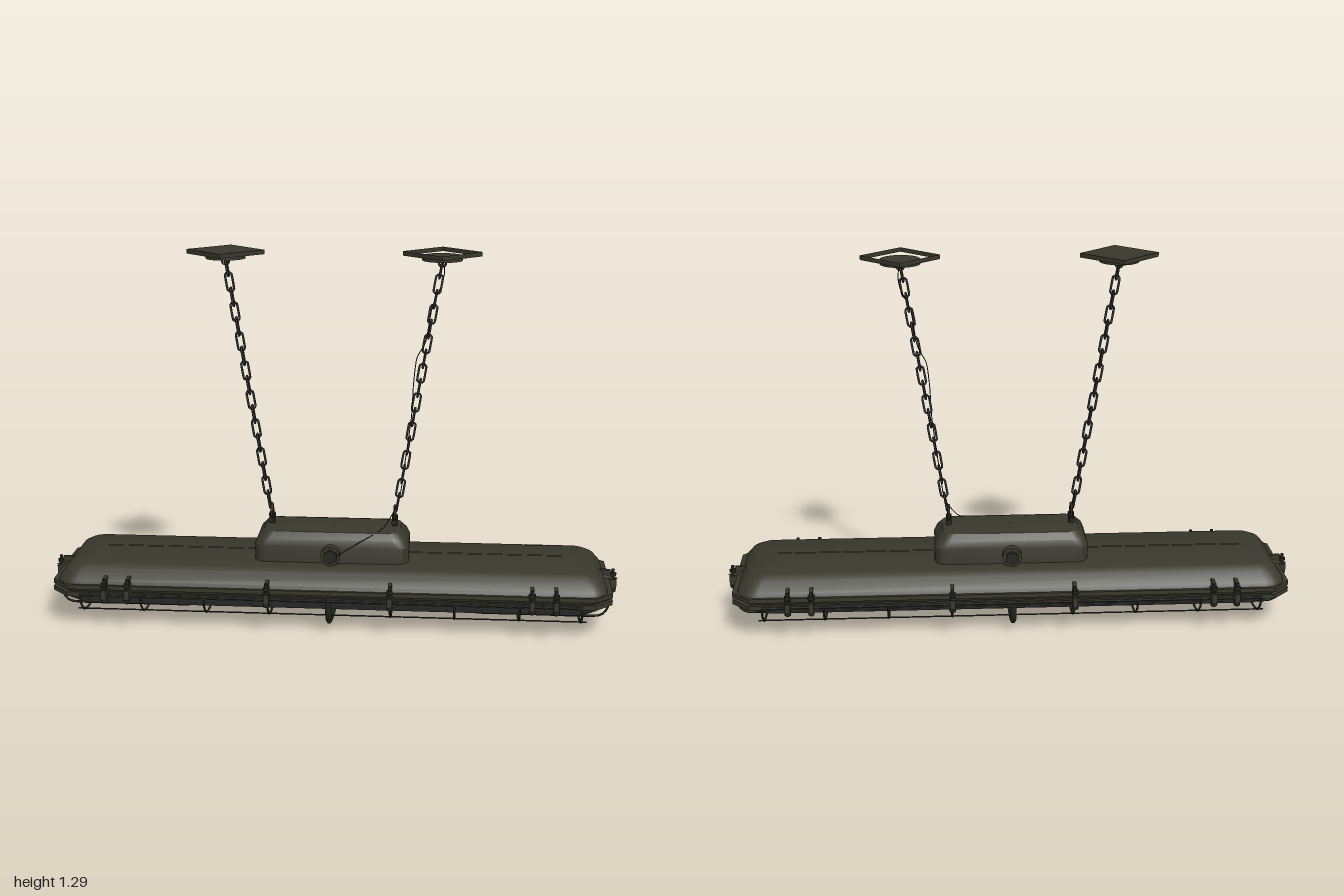
import * as THREE from 'three';
import { toCreasedNormals } from 'three/addons/utils/BufferGeometryUtils.js';

const mat = (name, color, side = THREE.FrontSide) => {
  const m = new THREE.MeshStandardMaterial({ color, side });
  m.name = name;
  return m;
};

// Stack of rounded rectangles, bottom to top: [halfX, halfZ, cornerRadius, y]
function loft(rings, segs, crease = 0.5) {
  const pos = [], idx = [], n = 4 * (segs + 1);
  for (const [hx, hz, r, y] of rings) {
    for (let q = 0; q < 4; q++) for (let i = 0; i <= segs; i++) {
      const a = (q + i / segs) * Math.PI / 2;
      const sx = q === 0 || q === 3 ? 1 : -1, sz = q < 2 ? 1 : -1;
      pos.push(sx * (hx - r) + r * Math.cos(a), y, sz * (hz - r) + r * Math.sin(a));
    }
  }
  for (let k = 0; k < rings.length - 1; k++) for (let j = 0; j < n; j++) {
    const a = k * n + j, b = k * n + (j + 1) % n;
    idx.push(a, a + n, b, b, a + n, b + n);
  }
  const g = new THREE.BufferGeometry();
  g.setAttribute('position', new THREE.Float32BufferAttribute(pos, 3));
  g.setIndex(idx);
  return toCreasedNormals(g, crease);
}

export function createModel() {
  const root = new THREE.Group();
  root.name = 'hangingLamp';
  const olive = mat('olive paint', 0x37372c);
  const oliveOpen = mat('olive sheet', 0x37372c, THREE.DoubleSide);
  const iron = mat('dark iron', 0x25261f);
  const chainMetal = mat('chain steel', 0x2c2c30);
  const glass = mat('smoked glass', 0x414143);

  const add = (parent, name, geo, m, x = 0, y = 0, z = 0) => {
    const o = new THREE.Mesh(geo, m);
    o.name = name;
    o.position.set(x, y, z);
    parent.add(o);
    return o;
  };
  const group = (parent, name, x = 0, y = 0, z = 0) => {
    const g = new THREE.Group();
    g.name = name;
    g.position.set(x, y, z);
    parent.add(g);
    return g;
  };
  const cyl = (r, h, n = 12) => new THREE.CylinderGeometry(r, r, h, n);
  // Bent wire through points
  const wire = (pts, r, n = 40, closed = false) => new THREE.TubeGeometry(
    new THREE.CatmullRomCurve3(pts.map(p => new THREE.Vector3(...p)), closed, 'catmullrom', 0.3), n, r, 6, closed);

  // Housing with a shallow ridged top
  add(root, 'hood', loft([
    [0.95, 0.222, 0.07, 0.15], [0.945, 0.215, 0.07, 0.168], [0.92, 0.187, 0.06, 0.2],
    [0.895, 0.157, 0.05, 0.216], [0.82, 0.002, 0.001, 0.228]], 5), olive);

  // Two chamfered rim flanges with a gasket between
  const flange = (hx, hz, y0, y1) => loft([
    [hx - 0.06, hz - 0.06, 0.03, y0], [hx, hz, 0.06, y0], [hx, hz, 0.06, y1], [hx - 0.06, hz - 0.06, 0.03, y1]], 1, 0.2);
  add(root, 'lowerRim', flange(0.965, 0.23, 0.114, 0.13), olive);
  add(root, 'gasket', flange(0.955, 0.22, 0.13, 0.14), iron);
  add(root, 'upperRim', flange(0.965, 0.23, 0.14, 0.155), olive);

  // Glass bowl
  add(root, 'lens', loft([
    [0.7, 0.001, 0.001, 0.04], [0.87, 0.08, 0.04, 0.044], [0.905, 0.135, 0.07, 0.058],
    [0.935, 0.178, 0.08, 0.085], [0.945, 0.2, 0.08, 0.118]], 6, 1), glass);

  // Wiring box on top with round cable bosses front and back
  add(root, 'wiringBox', loft([
    [0.268, 0.115, 0.04, 0.2], [0.268, 0.115, 0.04, 0.275], [0.258, 0.108, 0.045, 0.3],
    [0.238, 0.088, 0.04, 0.322], [0.22, 0.07, 0.035, 0.326], [0.001, 0.001, 0.0005, 0.326]], 6), olive);
  for (const s of [1, -1]) {
    const boss = group(root, 'cableBoss', 0, 0.252, s * 0.125);
    add(boss, 'bossBody', cyl(0.034, 0.036, 16), olive).rotation.x = Math.PI / 2;
    add(boss, 'bossNut', cyl(0.025, 0.012, 6), iron, 0, 0, s * 0.022).rotation.x = Math.PI / 2;
    add(boss, 'bossBase', new THREE.BoxGeometry(0.05, 0.06, 0.02), olive, 0, -0.008, -s * 0.01);
  }

  // Rim clips, built facing +z and turned into place
  const clip = (x, z, turn, winged) => {
    const g = group(root, 'rimClip', x, 0, z);
    g.rotation.y = turn;
    add(g, 'clipArm', new THREE.BoxGeometry(0.018, 0.034, 0.05), olive, 0, 0.132, 0.002);
    add(g, 'clipBolt', cyl(0.006, 0.086, 8), iron, 0, 0.142, 0.014);
    for (const y of [0.166, 0.108]) add(g, 'clipNut', cyl(0.012, 0.011, 6), iron, 0, y, 0.014);
    add(g, 'hoodLug', new THREE.BoxGeometry(0.012, 0.03, 0.05), olive, 0, 0.168, -0.02);
    if (winged) {
      const w = add(g, 'clipWing', new THREE.ConeGeometry(0.022, 0.075, 8), olive, 0, 0.152, -0.004);
      w.rotation.x = Math.PI / 2;
    } else {
      const e = add(g, 'clipEye', new THREE.TorusGeometry(0.009, 0.004, 6, 12), iron, 0, 0.152, 0.02);
      e.rotation.x = Math.PI / 2;
    }
  };
  for (const s of [1, -1]) {
    for (const x of [-0.77, -0.69, -0.21, 0.21, 0.69, 0.77])
      clip(x, s * 0.234, s > 0 ? 0 : Math.PI, Math.abs(x) === 0.69);
    clip(s * 0.966, 0, s * Math.PI / 2, true);
    add(root, 'rimRod', cyl(0.004, 1.72, 6), iron, 0, 0.122, s * 0.233).rotation.z = Math.PI / 2;
  }

  // Wire cage below the lens
  const cage = group(root, 'cage');
  for (const x of [-0.86, -0.65, -0.43, -0.21, 0.21, 0.43, 0.65, 0.86])
    add(cage, 'crossWire', wire([
      [x, 0.125, -0.226], [x, 0.085, -0.216], [x, 0.05, -0.175], [x, 0.037, -0.12], [x, 0.035, 0],
      [x, 0.037, 0.12], [x, 0.05, 0.175], [x, 0.085, 0.216], [x, 0.125, 0.226]], 0.004), iron);
  for (const s of [1, -1]) {
    add(cage, 'endLoop', wire([
      [s * 0.967, 0.125, -0.065], [s * 0.962, 0.07, -0.065], [s * 0.925, 0.035, -0.065], [s * 0.7, 0.034, -0.065],
      [s * 0.51, 0.034, -0.065], [s * 0.5, 0.034, -0.05], [s * 0.5, 0.034, 0.05], [s * 0.51, 0.034, 0.065],
      [s * 0.7, 0.034, 0.065], [s * 0.925, 0.035, 0.065], [s * 0.962, 0.07, 0.065], [s * 0.967, 0.125, 0.065]], 0.004, 80), iron);
    // Thin rail running along each side of the lens
    add(cage, 'sideRail', cyl(0.0025, 1.76, 6), iron, 0, 0.05, s * 0.172).rotation.z = Math.PI / 2;
  }
  add(cage, 'centreGuard', wire([
    [0, 0.12, -0.228], [0, 0.07, -0.222], [0, 0.036, -0.19], [0, 0.019, -0.11], [0, 0.011, 0],
    [0, 0.019, 0.11], [0, 0.036, 0.19], [0, 0.07, 0.222], [0, 0.12, 0.228]], 0.0105), iron);

  // Suspension chains with shackles and ceiling plates
  const linkGeo = wire([
    [-0.007, 0.031, 0], [0.007, 0.031, 0], [0.0115, 0.024, 0], [0.0115, -0.024, 0],
    [0.007, -0.031, 0], [-0.007, -0.031, 0], [-0.0115, -0.024, 0], [-0.0115, 0.024, 0]], 0.0042, 24, true);
  const shackleGeo = wire([
    [0, 0.342, -0.02], [0, 0.375, -0.018], [0, 0.397, 0], [0, 0.375, 0.018], [0, 0.342, 0.02]], 0.005, 20);
  const lean = Math.atan2(0.145, 0.87), count = 17;
  const pitch = Math.hypot(0.145, 0.87) / count;
  for (const s of [1, -1]) {
    const chain = group(root, 'chain', s * 0.222, 0.385, 0);
    chain.rotation.z = -s * lean;
    for (let i = 0; i < count; i++)
      add(chain, 'chainLink', linkGeo, chainMetal, 0, (i + 0.5) * pitch, 0).rotation.y = i % 2 ? 0 : Math.PI / 2;

    const shackle = group(root, 'shackle', s * 0.216, 0, 0);
    add(shackle, 'shackleBow', shackleGeo, iron);
    add(shackle, 'shackleLug', new THREE.BoxGeometry(0.02, 0.05, 0.016), iron, 0, 0.338, 0);
    add(shackle, 'shacklePin', cyl(0.006, 0.07, 8), iron, 0, 0.345, 0).rotation.x = Math.PI / 2;
    for (const z of [-0.031, 0.031])
      add(shackle, 'shackleNut', cyl(0.011, 0.008, 6), iron, 0, 0.345, z).rotation.x = Math.PI / 2;

    const mount = group(root, 'ceilingMount', s * 0.367, 0, 0);
    add(mount, 'mountDisc', cyl(0.068, 0.016, 24), olive, 0, 1.267, 0);
    add(mount, 'mountHook', new THREE.TorusGeometry(0.012, 0.004, 6, 14), iron, 0, 1.25, 0);
    if (s < 0) {
      add(mount, 'ceilingPlate', new THREE.BoxGeometry(0.188, 0.015, 0.188), olive, 0, 1.281, 0).rotation.y = Math.PI / 4;
    } else {
      // Open square frame of thin walls
      for (let k = 0; k < 4; k++) {
        const a = Math.PI / 4 + k * Math.PI / 2;
        add(mount, 'frameWall', new THREE.PlaneGeometry(0.188, 0.015), oliveOpen,
          0.094 * Math.sin(a), 1.281, 0.094 * Math.cos(a)).rotation.y = a;
      }
    }
  }

  // Power cable winding up one chain
  add(root, 'powerCable', wire([
    [0.02, 0.255, 0.15], [0.1, 0.3, 0.125], [0.18, 0.335, 0.06], [0.23, 0.42, 0.008], [0.25, 0.56, -0.008],
    [0.27, 0.72, 0.008], [0.275, 0.83, -0.006], [0.285, 0.92, -0.018], [0.315, 0.98, -0.012],
    [0.335, 1.1, 0.008], [0.365, 1.17, -0.028], [0.375, 1.22, -0.026], [0.367, 1.26, 0]], 0.0016, 90), iron);

  return root;
}
